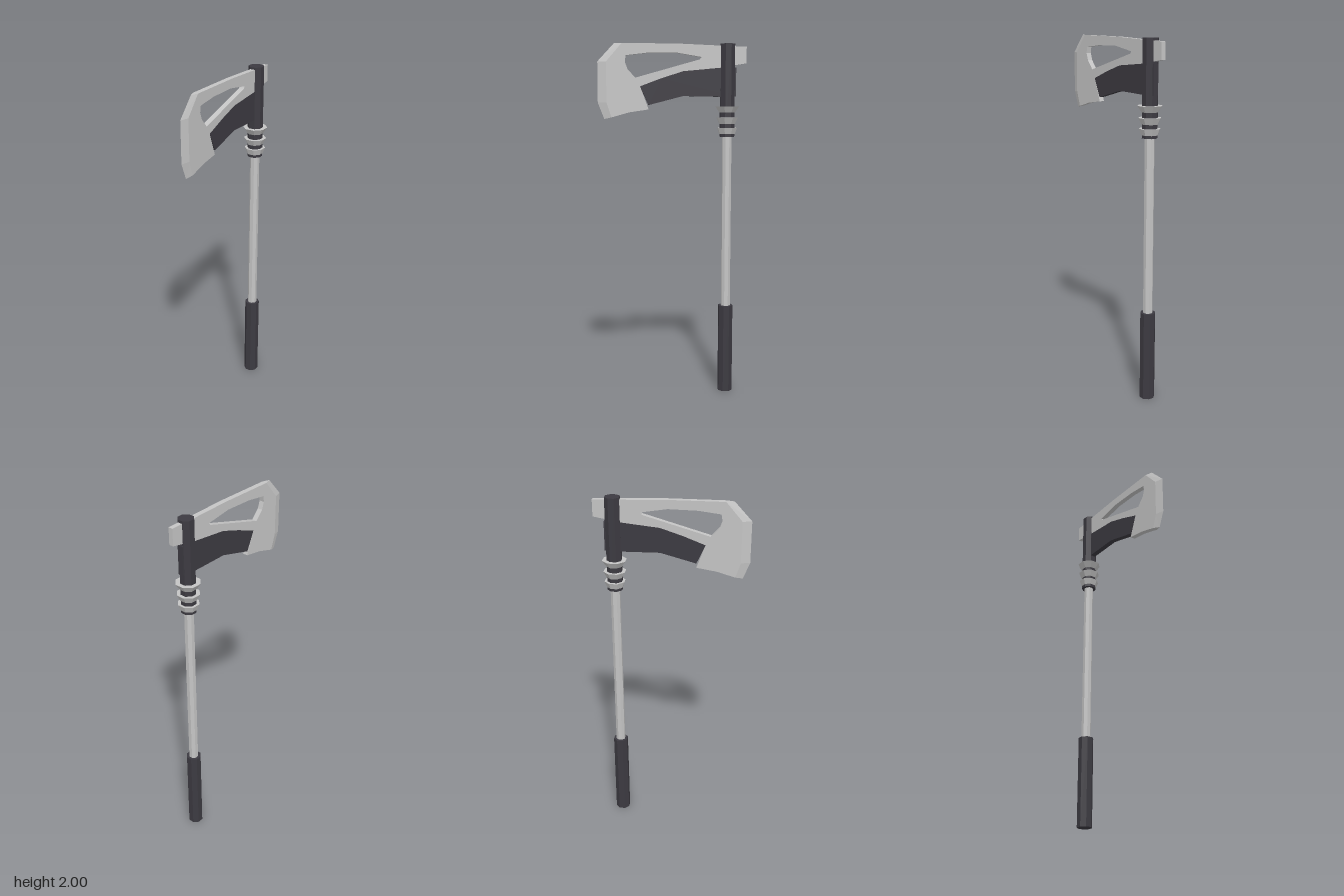
import * as THREE from 'three';

const AXIS_Z = -0.31;
const steel = new THREE.MeshStandardMaterial({ color: 0xc4c4c4, flatShading: true });
steel.name = 'steel';
const dark = new THREE.MeshStandardMaterial({ color: 0x3c3a41, flatShading: true });
dark.name = 'dark grip';

export function createModel() {
  const group = new THREE.Group();

  const add = (name, geometry, material) => {
    const mesh = new THREE.Mesh(geometry, material);
    mesh.name = name;
    group.add(mesh);
  };

  // Octagonal section of the haft, sized across its flats
  const octagon = (name, y0, y1, bottom, top, material) => {
    const k = 1 / Math.cos(Math.PI / 8);
    const g = new THREE.CylinderGeometry(top * k, bottom * k, y1 - y0, 8);
    g.rotateY(Math.PI / 8);
    g.translate(0, (y0 + y1) / 2, AXIS_Z);
    add(name, g, material);
  };

  // Flat plate from a [z, y] outline, centred on x = 0
  const plate = (name, outline, halfWidth, material, hole) => {
    const toPoints = (list) => list.map(([z, y]) => new THREE.Vector2(z, y));
    const shape = new THREE.Shape(toPoints(outline));
    if (hole) shape.holes.push(new THREE.Path(toPoints(hole)));
    const g = new THREE.ExtrudeGeometry(shape, { depth: halfWidth * 2, bevelEnabled: false });
    g.translate(0, 0, -halfWidth);
    g.rotateY(-Math.PI / 2);
    add(name, g, material);
  };

  // Haft
  octagon('handGrip', 0, 0.51, 0.0395, 0.0395, dark);
  octagon('shaft', 0.5, 1.5, 0.025, 0.025, steel);
  octagon('headSleeve', 1.485, 2, 0.0395, 0.0395, dark);

  // Flared collar rings
  [[1.655, 0.063], [1.592, 0.058], [1.535, 0.054]].forEach(([y, r], i) => {
    octagon('collarRing' + (i + 1), y - 0.034, y, 0.042, r, steel);
  });

  // Blade body with its triangular opening
  const t = 0.0145;
  const inner = [[0.28, 2], [0.367, 1.9], [0.367, 1.675], [0.34, 1.594]];
  const edge = [[0.322, 2], [0.415, 1.9], [0.415, 1.675], [0.38, 1.585]];
  plate('bladeBody', [
    ...inner, [0.24, 1.622], [0.133, 1.638], [0.18, 1.765],
    [0.06, 1.808], [-0.06, 1.845], [-0.31, 1.87], [-0.31, 1.987], [-0.04, 1.998],
  ], t, steel, [
    [0.258, 1.934], [0.14, 1.948], [-0.02, 1.95], [-0.163, 1.926],
    [-0.155, 1.914], [0.207, 1.812], [0.25, 1.86], [0.264, 1.9],
  ]);

  // Ground cutting edge, tapering from full thickness to a line
  const pos = [];
  const I = (i, s) => [s * t, inner[i][1], inner[i][0]];
  const E = (i) => [0, edge[i][1], edge[i][0]];
  const tri = (a, b, c) => pos.push(...a, ...b, ...c);
  for (const s of [1, -1]) {
    const face = (a, b, c) => (s > 0 ? tri(a, b, c) : tri(a, c, b));
    for (let i = 0; i < 3; i++) {
      face(I(i, s), E(i), E(i + 1));
      face(I(i, s), E(i + 1), I(i + 1, s));
    }
  }
  tri(I(0, 1), I(0, -1), E(0));
  tri(I(3, -1), I(3, 1), E(3));
  const edgeGeometry = new THREE.BufferGeometry();
  edgeGeometry.setAttribute('position', new THREE.Float32BufferAttribute(pos, 3));
  edgeGeometry.computeVertexNormals();
  add('cuttingEdge', edgeGeometry, steel);

  // Dark arm under the blade, passing through the sleeve
  plate('bladeArm', [
    [0.18, 1.765], [0.133, 1.662], [-0.06, 1.712], [-0.27, 1.708], [-0.357, 1.71],
    [-0.357, 1.87], [-0.27, 1.868], [-0.06, 1.848], [0.06, 1.81],
  ], 0.0155, dark);

  // Small tab behind the sleeve
  plate('rearTab', [
    [-0.31, 1.987], [-0.415, 1.984], [-0.415, 1.893], [-0.31, 1.875],
  ], 0.0125, steel);

  return group;
}
